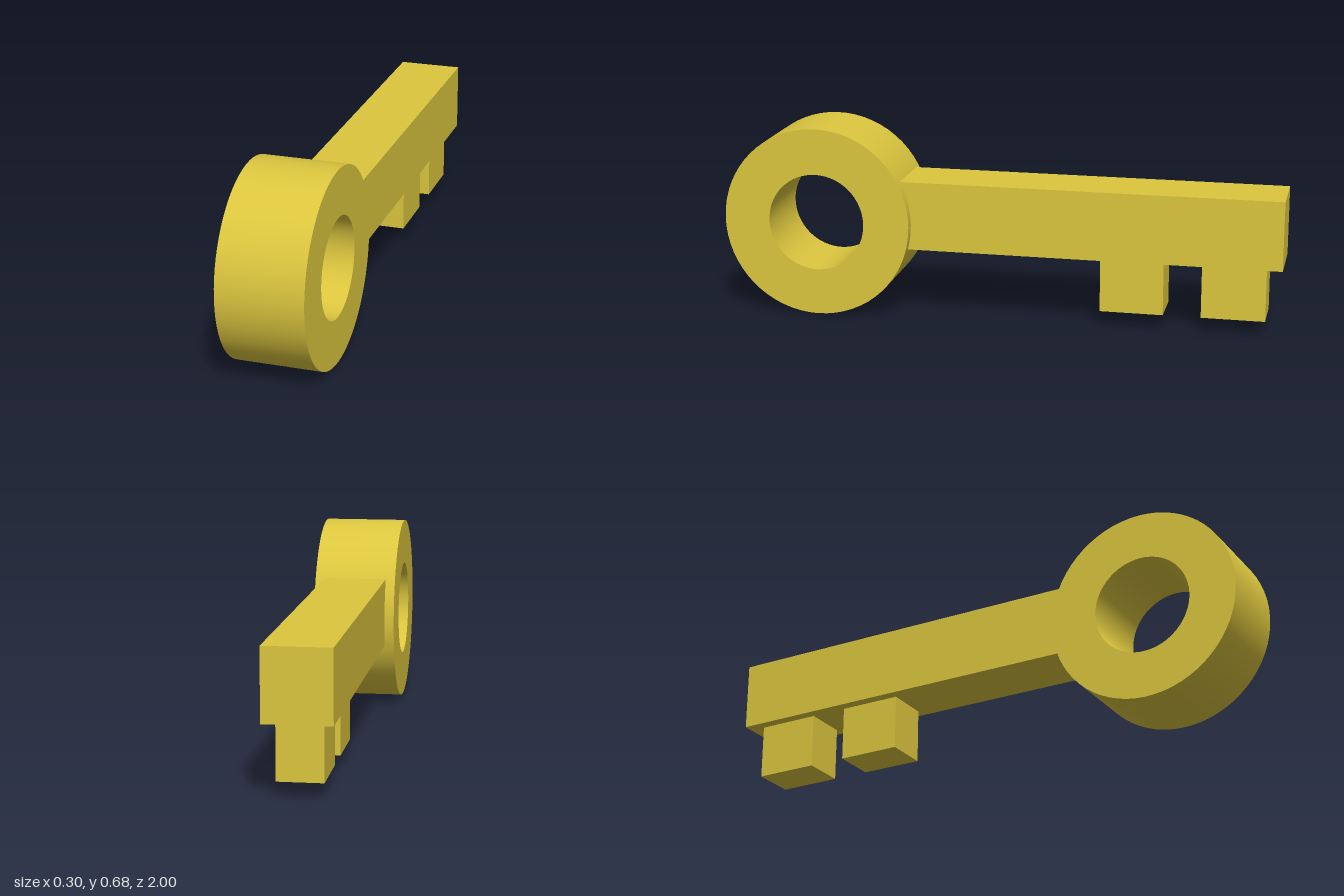
import * as THREE from 'three';
import { toCreasedNormals } from 'three/addons/utils/BufferGeometryUtils.js';

export function createModel() {
  const key = new THREE.Group();
  key.name = 'key';
  const gold = new THREE.MeshStandardMaterial({ color: 0xdcc63e });

  function add(name, geometry, x, y, z) {
    const mesh = new THREE.Mesh(geometry, gold);
    mesh.name = name;
    mesh.position.set(x, y, z);
    key.add(mesh);
    return mesh;
  }

  // Ring-shaped bow, extruded across x
  const width = 0.3;
  const outline = new THREE.Shape().absarc(0, 0, 0.341, 0, Math.PI * 2, false);
  outline.holes.push(new THREE.Path().absarc(0, 0, 0.175, 0, Math.PI * 2, true));
  const ring = new THREE.ExtrudeGeometry(outline, {
    depth: width, bevelEnabled: false, curveSegments: 32,
  });
  ring.translate(0, 0, -width / 2).rotateY(Math.PI / 2);
  add('bow', toCreasedNormals(ring, 0.6), 0, 0.342, 0.659);

  // Shaft, with its front end sunk into the bow
  const back = -1, front = 0.4;
  add('shaft', new THREE.BoxGeometry(0.23, 0.247, front - back), 0, 0.375, (front + back) / 2);

  // Two teeth under the shaft, narrower than it
  for (const z of [-0.472, -0.831]) {
    add('tooth', new THREE.BoxGeometry(0.155, 0.215, 0.225), 0, 0.1625, z);
  }

  return key;
}
